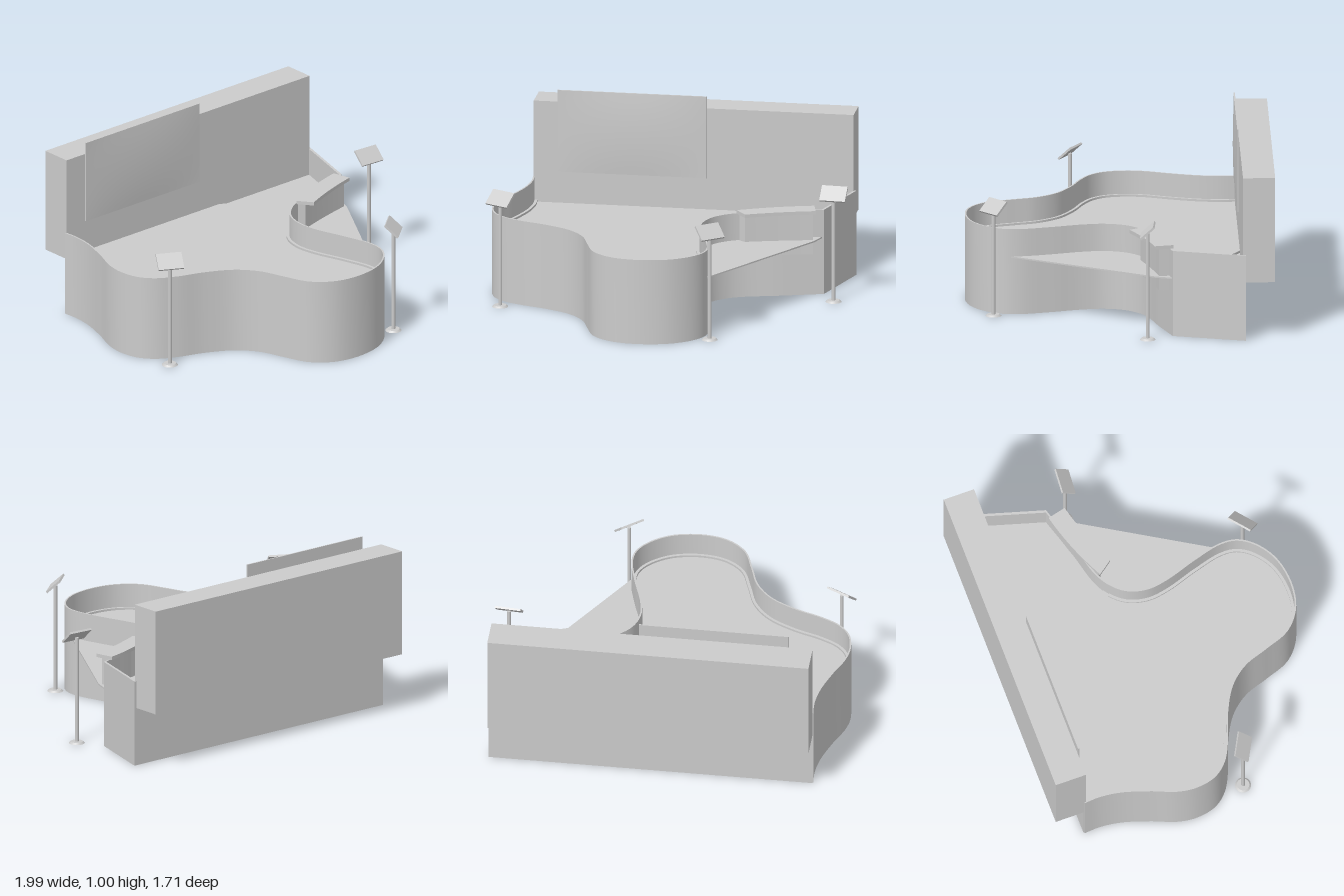
import * as THREE from 'three';
import { toCreasedNormals } from 'three/addons/utils/BufferGeometryUtils.js';

const mat = new THREE.MeshStandardMaterial({ color: 0xcccccc, side: THREE.DoubleSide });

function add(parent, name, geo, x = 0, y = 0, z = 0) {
  const m = new THREE.Mesh(geo, mat);
  m.name = name;
  m.position.set(x, y, z);
  parent.add(m);
  return m;
}

// Plan polygon of [x, z] points raised from y0 to y1
function slab(pts, y0, y1) {
  const shape = new THREE.Shape(pts.map(([x, z]) => new THREE.Vector2(x, -z)));
  const geo = new THREE.ExtrudeGeometry(shape, { depth: y1 - y0, bevelEnabled: false });
  geo.rotateX(-Math.PI / 2);
  geo.translate(0, y0, 0);
  return toCreasedNormals(geo, 0.5);
}

// Smooth plan curve through [x, z] points
function smooth(pts, n) {
  const curve = new THREE.CatmullRomCurve3(pts.map(([x, z]) => new THREE.Vector3(x, 0, z)));
  return curve.getSpacedPoints(n).map(p => [p.x, p.z]);
}

// Path moved sideways, towards the inside of the enclosure
function offset(path, d) {
  return path.map(([x, z], i) => {
    const a = path[Math.max(i - 1, 0)], b = path[Math.min(i + 1, path.length - 1)];
    const dx = b[0] - a[0], dz = b[1] - a[1], l = Math.hypot(dx, dz);
    return [x + d * dz / l, z - d * dx / l];
  });
}

// Strip between two offsets of a path
const ribbon = (path, d0, d1, y0, y1) =>
  slab([...offset(path, d0), ...offset(path, d1).reverse()], y0, y1);

// Reading stand: foot, pole and tilted panel facing along yaw
function infoStand(name, x, z, yaw) {
  const g = new THREE.Group();
  g.name = name;
  g.position.set(x, 0, z);
  g.rotation.y = yaw;
  add(g, 'foot', new THREE.CylinderGeometry(0.035, 0.045, 0.01, 24), 0, 0.005, 0);
  add(g, 'pole', new THREE.CylinderGeometry(0.011, 0.011, 0.61, 16), 0, 0.31, 0);
  const panel = add(g, 'panel', new THREE.BoxGeometry(0.147, 0.012, 0.1), 0, 0.627, 0);
  panel.rotation.x = 0.74;
  return g;
}

export function createModel() {
  const model = new THREE.Group();
  model.name = 'exhibitDisplay';

  // Winding parapet wall
  const path = smooth([
    [-0.87, -0.69], [-0.865, -0.6], [-0.88, -0.48], [-0.93, -0.32], [-0.985, -0.18],
    [-1, -0.07], [-0.975, 0.05], [-0.91, 0.13], [-0.8, 0.19], [-0.65, 0.245],
    [-0.5, 0.33], [-0.41, 0.44], [-0.36, 0.58], [-0.3, 0.73], [-0.19, 0.82],
    [-0.04, 0.85], [0.13, 0.82], [0.25, 0.74], [0.31, 0.65], [0.32, 0.55],
    [0.28, 0.38], [0.225, 0.2], [0.21, 0.08], [0.24, -0.03], [0.31, -0.11],
    [0.4, -0.16], [0.6, -0.215], [0.84, -0.29],
  ], 170);
  add(model, 'curvedWall', ribbon(path, 0, 0.009, 0, 0.49));
  add(model, 'skirting', ribbon(path, 0.008, 0.013, 0, 0.07));

  // Straight walls closing the right-hand end and the back
  add(model, 'sideWall', slab([[0.84, -0.29], [0.96, -0.695], [0.945, -0.695], [0.825, -0.29]], 0, 0.49));
  add(model, 'backWall', new THREE.BoxGeometry(1.82, 0.35, 0.012), 0.045, 0.175, -0.689);

  // Lower deck, running straight past the hollow in the wall
  const bend = path.findIndex(([x, z]) => x > 0.3 && z < 0.6);
  const lobe = offset(path, 0.005).slice(0, bend);
  add(model, 'lowerDeck', slab([...lobe, [0.32, 0.6], [0.8, -0.2], [0.83, -0.29], [0.95, -0.69]], 0.325, 0.333));

  // Main deck, ending in an S-shaped edge
  const join = path.findIndex(([x, z]) => x > 0.31 && z < -0.1);
  const sEdge = smooth([[0.33, -0.13], [0.35, -0.25], [0.41, -0.38], [0.41, -0.52], [0.35, -0.63], [0.26, -0.685]], 24);
  add(model, 'mainDeck', slab([...offset(path, 0.005).slice(0, join), ...sEdge], 0.333, 0.345));
  add(model, 'deckLedge', ribbon(path.slice(0, join), 0.008, 0.025, 0.335, 0.357));

  // Bowed counter with a hanging front panel
  const bow = (a, b, c) => new THREE.QuadraticBezierCurve(
    ...[a, b, c].map(p => new THREE.Vector2(...p))).getPoints(16).map(p => [p.x, p.y]);
  add(model, 'counterTop', slab([
    ...bow([0.43, -0.06], [0.62, -0.145], [0.81, -0.19]),
    ...bow([0.785, -0.295], [0.57, -0.245], [0.37, -0.14])], 0.49, 0.51));
  add(model, 'counterPanel', slab([
    ...bow([0.42, -0.12], [0.61, -0.18], [0.79, -0.215]),
    ...bow([0.78, -0.275], [0.57, -0.225], [0.385, -0.145])], 0.25, 0.49));

  // Thick raised back block
  add(model, 'backBlock', new THREE.BoxGeometry(1.81, 0.6, 0.18), 0.04, 0.633, -0.77);

  // Screen with a gently domed front
  const screen = new THREE.BoxGeometry(0.845, 0.475, 0.008, 20, 12, 1);
  const p = screen.attributes.position;
  for (let i = 0; i < p.count; i++) {
    const u = p.getX(i) / 0.4225, v = p.getY(i) / 0.2375;
    if (p.getZ(i) > 0) p.setZ(i, 0.004 + 0.012 * (1 - u * u) * (1 - v * v));
  }
  add(model, 'screen', toCreasedNormals(screen, 0.5), -0.307, 0.766, -0.673);

  // Reading stands around the outside
  model.add(
    infoStand('rightStand', -0.907, 0.24, -0.49),
    infoStand('frontStand', 0.352, 0.7, 0.69),
    infoStand('leftStand', 0.917, -0.148, -0.07),
  );
  return model;
}
